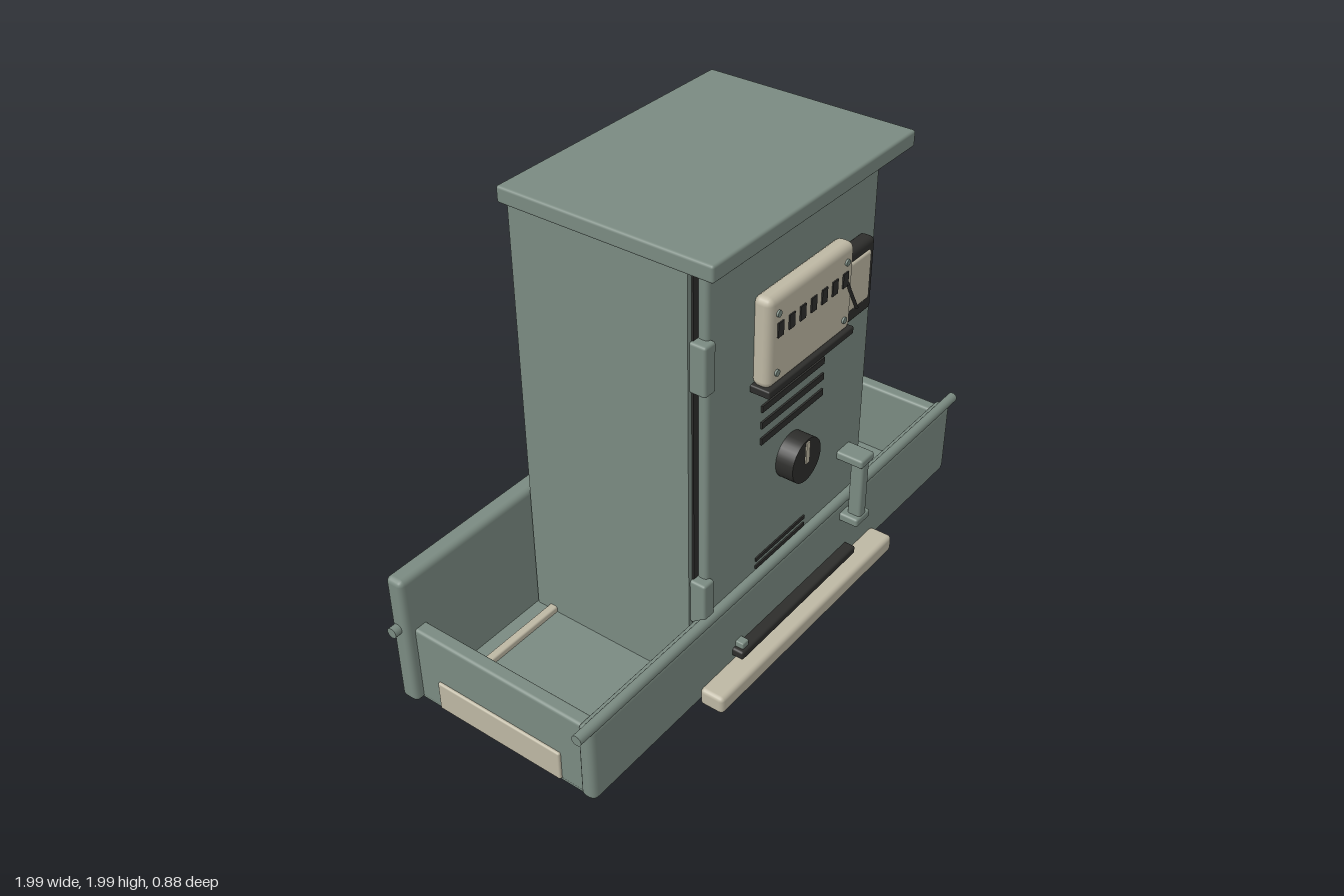
import * as THREE from 'three';
import { RoundedBoxGeometry } from 'three/addons/geometries/RoundedBoxGeometry.js';

export function createModel() {
  const root = new THREE.Group();
  const mat = (name, color) => {
    const m = new THREE.MeshStandardMaterial({ color });
    m.name = name;
    return m;
  };
  const green = mat('grey green paint', 0x7a8a81);
  const cream = mat('cream plastic', 0xbdb7a3);
  const black = mat('black rubber', 0x2d2d2b);

  const add = (name, geo, material, parent = root) => {
    const mesh = new THREE.Mesh(geo, material);
    mesh.name = name;
    parent.add(mesh);
    return mesh;
  };
  // Box given by its limits on each axis; r rounds the edges
  const box = (name, material, [x0, x1], [y0, y1], [z0, z1], r = 0) => {
    const w = x1 - x0, h = y1 - y0, d = z1 - z0;
    const geo = r ? new RoundedBoxGeometry(w, h, d, 2, r) : new THREE.BoxGeometry(w, h, d);
    const mesh = add(name, geo, material);
    mesh.position.set((x0 + x1) / 2, (y0 + y1) / 2, (z0 + z1) / 2);
    return mesh;
  };
  const cylinder = (name, material, r, length, axis, pos, sides = 24) => {
    const geo = new THREE.CylinderGeometry(r, r, length, sides);
    if (axis === 'x') geo.rotateZ(Math.PI / 2);
    if (axis === 'z') geo.rotateX(Math.PI / 2);
    const mesh = add(name, geo, material);
    mesh.position.set(...pos);
    return mesh;
  };
  // Bent rod: straight cylinders with ball joints
  const rod = (name, material, points, r) => {
    const group = new THREE.Group();
    group.name = name;
    root.add(group);
    const p = points.map((q) => new THREE.Vector3(...q));
    for (let i = 0; i < p.length - 1; i++) {
      const dir = p[i + 1].clone().sub(p[i]);
      const seg = add(name + 'Segment', new THREE.CylinderGeometry(r, r, dir.length(), 16), material, group);
      seg.position.copy(p[i]).addScaledVector(dir, 0.5);
      seg.quaternion.setFromUnitVectors(new THREE.Vector3(0, 1, 0), dir.normalize());
      if (i) add(name + 'Joint', new THREE.SphereGeometry(r, 16, 10), material, group).position.copy(p[i]);
    }
  };

  // Cabinet, roof and door
  box('cabinet', green, [-0.436, 0.436], [0.53, 1.955], [-0.3, 0.292]);
  box('roof', green, [-0.47, 0.47], [1.95, 2], [-0.305, 0.395], 0.008);
  box('doorGasket', black, [-0.42, 0.426], [0.54, 1.94], [0.288, 0.298]);
  box('door', green, [-0.402, 0.402], [0.56, 1.922], [0.294, 0.33], 0.012);
  for (const y of [0.78, 1.575])
    box('hinge', green, [-0.432, -0.385], [y, y + 0.155], [0.29, 0.345], 0.008);

  // Meter housing with number windows, screws and side display
  box('meterHousing', cream, [-0.205, 0.205], [1.49, 1.77], [0.325, 0.385], 0.022);
  box('meterShelf', black, [-0.21, 0.21], [1.47, 1.495], [0.325, 0.393], 0.005);
  box('meterBracket', green, [-0.18, 0.18], [1.452, 1.475], [0.325, 0.37]);
  box('displayFrame', black, [0.17, 0.332], [1.49, 1.725], [0.325, 0.373], 0.015);
  box('displayFace', cream, [0.19, 0.305], [1.538, 1.695], [0.34, 0.38], 0.008);
  for (let i = 0; i < 7; i++) {
    const x = -0.157 + i * 0.0523;
    box('numberWindow', black, [x - 0.013, x + 0.013], [1.645, 1.69], [0.38, 0.389]);
  }
  for (const [x, y] of [[-0.168, 1.72], [0.162, 1.72], [-0.168, 1.535], [0.162, 1.535]])
    cylinder('housingScrew', green, 0.01, 0.014, 'z', [x, y, 0.384], 12);
  rod('meterNeedle', black, [[0.17, 1.65, 0.387], [0.185, 1.62, 0.387], [0.227, 1.545, 0.387]], 0.005);

  // Door vents and selector knob
  for (const y of [1.275, 1.33, 1.385, 1.442])
    box('vent', black, [-0.155, 0.155], [y - 0.011, y + 0.011], [0.328, 0.336]);
  for (const y of [0.822, 0.85])
    box('lowerVent', black, [-0.165, 0.09], [y - 0.006, y + 0.006], [0.328, 0.335]);
  cylinder('knob', black, 0.073, 0.062, 'z', [0, 1.143, 0.358], 32);
  box('knobPointer', cream, [-0.009, 0.009], [1.135, 1.208], [0.385, 0.393]);

  // Tray: floor, front, back, ends and rails
  box('trayFloor', green, [-0.935, 0.935], [0.515, 0.54], [-0.33, 0.33], 0.008);
  box('trayFront', green, [-0.952, 0.952], [0.525, 0.8], [0.305, 0.358], 0.02);
  box('trayBack', green, [-0.968, 0.968], [0.518, 0.98], [-0.368, -0.305], 0.018);
  for (const z of [-0.342, 0.342])
    cylinder('trayRail', green, 0.017, 1.985, 'x', [0, 0.797, z], 16);
  for (const s of [-1, 1]) {
    const span = (a, b) => (s > 0 ? [a, b] : [-b, -a]);
    const slide = s > 0 ? green : cream;
    box('trayEnd', green, span(0.89, 0.938), [0.525, 0.79], [-0.32, 0.32], 0.01);
    box('drawerEnd', slide, span(0.93, 0.947), [0.53, 0.632], [-0.23, 0.23], 0.006);
    for (const z of [-0.237, 0.228])
      box('drawerSlide', slide, span(0.43, 0.9), [0.535, 0.56], [z - 0.014, z + 0.014], 0.006);
  }

  // Perches and the dark bar above the front one
  box('frontPerch', cream, [-0.47, 0.47], [0.517, 0.578], [0.355, 0.438], 0.014);
  box('backPerch', cream, [-0.47, 0.47], [0.517, 0.578], [-0.44, -0.365], 0.014);
  box('frontBar', black, [-0.31, 0.31], [0.588, 0.618], [0.35, 0.395], 0.008);
  box('barStop', green, [-0.295, -0.265], [0.612, 0.638], [0.35, 0.385], 0.004);
  for (const x of [-0.33, 0.33])
    for (const z of [-0.325, 0.325])
      cylinder('perchBolt', black, 0.024, 0.014, 'y', [x, 0.514, z], 12);

  // Latch joining the door to the tray
  box('latchBar', green, [0.28, 0.318], [0.75, 0.98], [0.372, 0.418], 0.008);
  box('latchTop', green, [0.265, 0.337], [0.96, 0.99], [0.325, 0.422], 0.008);
  box('latchFoot', green, [0.26, 0.337], [0.735, 0.765], [0.35, 0.422], 0.008);

  // Rear post, bracket, dial and cable
  box('rearPost', green, [-0.062, 0.062], [0.53, 1.93], [-0.368, -0.295], 0.006);
  box('postBracket', green, [-0.102, 0.102], [1.412, 1.662], [-0.354, -0.295], 0.008);
  cylinder('rearDial', black, 0.084, 0.036, 'x', [0.145, 1.503, -0.262], 32);
  rod('rearCable', black, [[0.32, 1.08, -0.29], [0.255, 0.84, -0.375], [0.255, 0.8, -0.388], [0.43, 0.585, -0.39]], 0.008);

  // Hanging hook and the elbow pipe inside the tray
  const hook = [[0, 0.53], [0, 0.125], [-0.115, 0.035], [-0.27, 0.035], [-0.34, 0.155], [-0.352, 0.322]];
  rod('hook', green, hook.map(([z, y]) => [0.312, y, z]), 0.028);
  cylinder('hookCollar', black, 0.045, 0.014, 'y', [0.312, 0.514, 0], 20);
  rod('elbowPipe', green, [[0.42, 0.695, -0.105], [0.545, 0.69, -0.105], [0.572, 0.65, -0.105], [0.572, 0.53, -0.105]], 0.025);

  return root;
}
